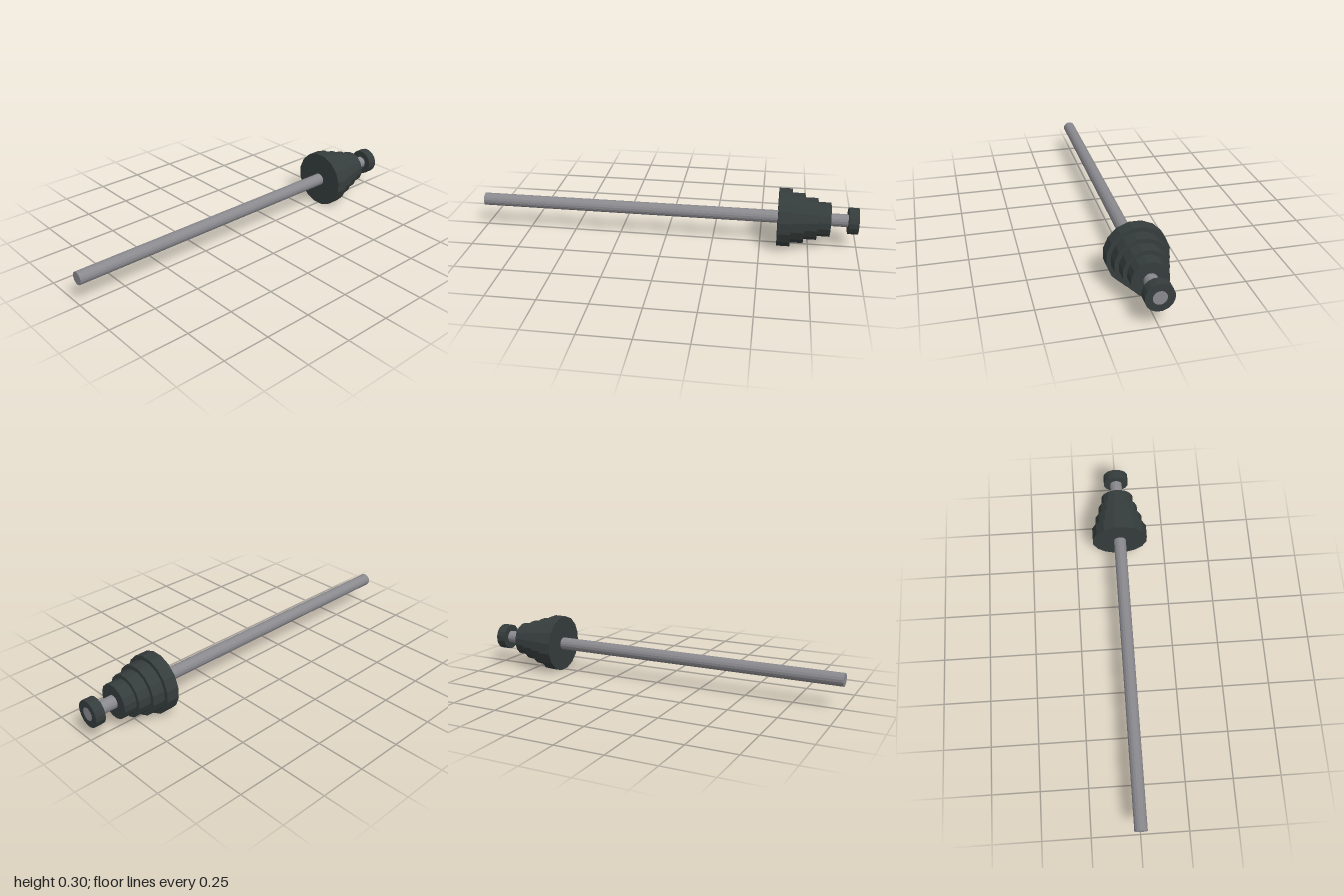
import * as THREE from 'three';

const SIDES = 16;
const AXIS_Y = 0.15;

export function createModel() {
  const steel = new THREE.MeshStandardMaterial({ color: 0x8a898e, flatShading: true });
  steel.name = 'steel grey';
  const iron = new THREE.MeshStandardMaterial({ color: 0x353d3c, flatShading: true });
  iron.name = 'dark iron';

  const group = new THREE.Group();
  group.name = 'loadedBar';

  // Faceted disc along x, from x0 to x1, with a flat side on top
  function disc(name, x0, x1, flatRadius, material) {
    const r = flatRadius / Math.cos(Math.PI / SIDES);
    const geometry = new THREE.CylinderGeometry(r, r, x1 - x0, SIDES, 1, false, Math.PI / SIDES);
    geometry.rotateZ(-Math.PI / 2);
    const mesh = new THREE.Mesh(geometry, material);
    mesh.name = name;
    mesh.position.set((x0 + x1) / 2, AXIS_Y, 0);
    group.add(mesh);
  }

  // Long bar running through everything
  disc('bar', -1, 1, 0.033, steel);

  // Four stacked weight plates, shrinking towards the end
  const plateRadii = [0.15, 0.129, 0.108, 0.088];
  const start = 0.588, width = 0.067;
  plateRadii.forEach((radius, i) => {
    disc(`weightPlate${i + 1}`, start + i * width, start + (i + 1) * width, radius, iron);
  });

  // Collar at the tip, the bar end just proud of it
  disc('endCollar', 0.947, 0.999, 0.068, iron);

  return group;
}
